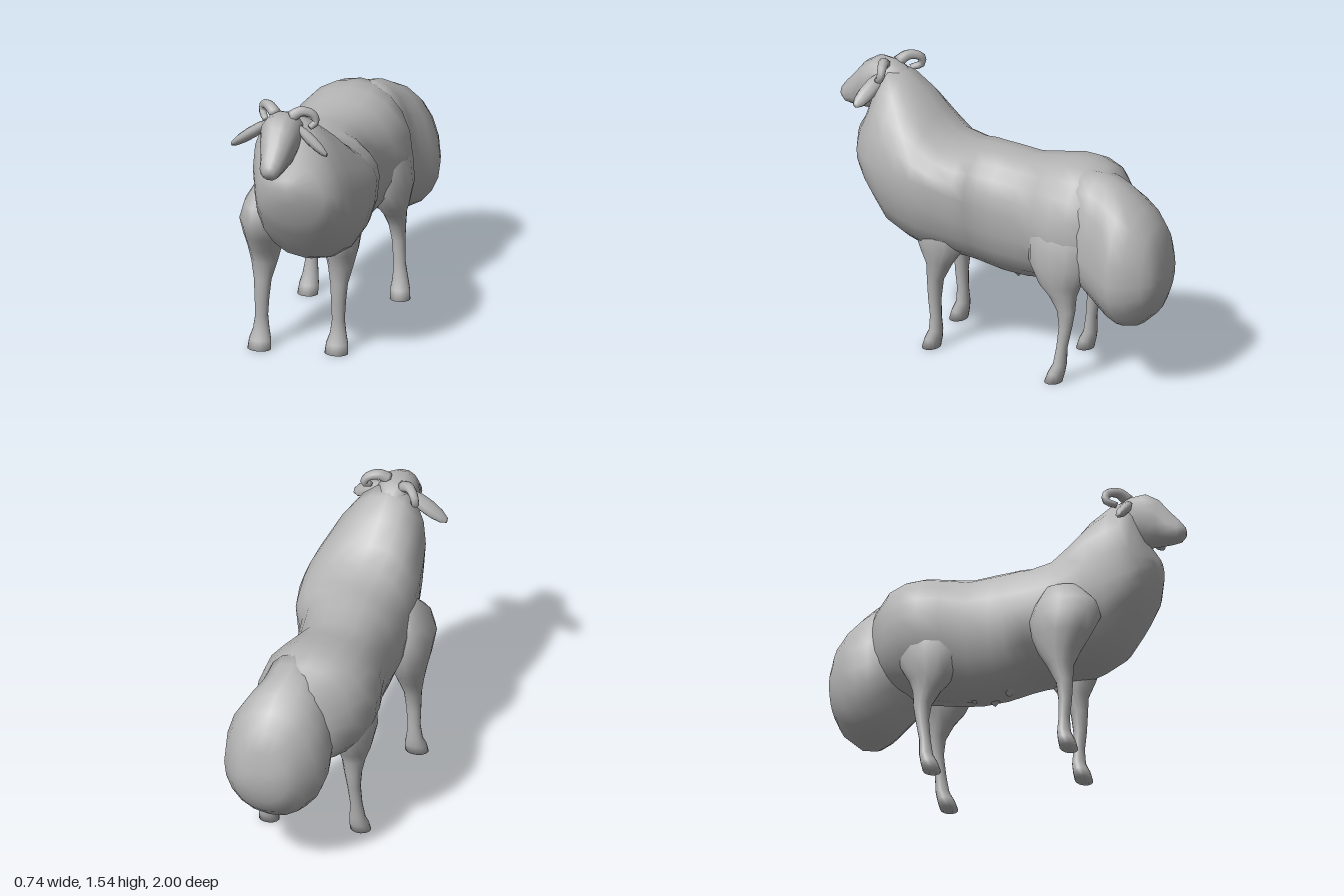
import * as THREE from 'three';

const wool = new THREE.MeshStandardMaterial({ color: 0xb4b4b4 });
wool.name = 'pale grey';

// Closed smooth skin over a list of rings (arrays of Vector3), wound outward.
function loft(name, rings) {
  const n = rings[0].length, pos = [], idx = [];
  rings.forEach(r => r.forEach(p => pos.push(p.x, p.y, p.z)));
  for (let i = 0; i < rings.length - 1; i++)
    for (let j = 0; j < n; j++) {
      const a = i * n + j, b = i * n + (j + 1) % n;
      idx.push(a, b, a + n, b, b + n, a + n);
    }
  [0, rings.length - 1].forEach((k, end) => {
    const c = rings[k].reduce((s, p) => s.add(p), new THREE.Vector3()).divideScalar(n);
    const ci = pos.length / 3;
    pos.push(c.x, c.y, c.z);
    for (let j = 0; j < n; j++) {
      const a = k * n + j, b = k * n + (j + 1) % n;
      end ? idx.push(a, b, ci) : idx.push(b, a, ci);
    }
  });
  // Flip the faces if the enclosed volume comes out negative.
  const v = i => new THREE.Vector3().fromArray(pos, i * 3);
  let vol = 0;
  for (let i = 0; i < idx.length; i += 3) vol += v(idx[i]).dot(v(idx[i + 1]).cross(v(idx[i + 2])));
  if (vol < 0) idx.reverse();
  const g = new THREE.BufferGeometry();
  g.setAttribute('position', new THREE.Float32BufferAttribute(pos, 3));
  g.setIndex(idx);
  g.computeVertexNormals();
  const m = new THREE.Mesh(g, wool);
  m.name = name;
  return m;
}

// Ring around centre c, spanned by the half-axes u and v.
function ring(n, c, u, v) {
  return Array.from({ length: n }, (_, j) => {
    const t = j / n * Math.PI * 2;
    return c.clone().addScaledVector(u, Math.cos(t)).addScaledVector(v, Math.sin(t));
  });
}
const V = (x, y, z) => new THREE.Vector3(x, y, z);

// Upright section: z, x range, bulge heights of the two sides, top, bottom,
// and how far the upper half leans to the right.
function section([z, x0, x1, y0, y1, top, bottom, lean = 0], n = 20) {
  return Array.from({ length: n }, (_, j) => {
    const t = j / n * Math.PI * 2, c = Math.cos(t), s = Math.sin(t);
    const mid = THREE.MathUtils.lerp(y0, y1, (1 + c) / 2);
    const cx = Math.sign(c) * Math.abs(c) ** 0.9;
    const x = (x0 + x1) / 2 + (x1 - x0) / 2 * cx - lean * Math.max(s, 0);
    return V(x, mid + (s > 0 ? top - mid : mid - bottom) * s, z);
  });
}

// Leg rows: height, z offset, half width, half depth
const shin = [
  [0.4, 0, 0.048, 0.045], [0.29, 0.005, 0.04, 0.035], [0.19, 0, 0.035, 0.03],
  [0.11, 0, 0.045, 0.036], [0.06, 0.015, 0.06, 0.045], [0.008, 0.028, 0.064, 0.047],
];
const leftFrontRows = [
  [0.88, -0.04, 0.07, 0.12], [0.68, -0.04, 0.1, 0.16], [0.58, -0.035, 0.088, 0.12], [0.5, -0.025, 0.07, 0.072], ...shin,
];
const rightFrontRows = [
  [0.96, -0.02, 0.05, 0.09], [0.86, 0, 0.105, 0.17], [0.77, 0, 0.128, 0.195],
  [0.67, -0.02, 0.112, 0.16], [0.58, -0.03, 0.09, 0.115], [0.5, -0.025, 0.072, 0.07], ...shin,
];
const hindRows = [
  [0.94, 0.03, 0.07, 0.13], [0.8, 0.02, 0.118, 0.19], [0.66, 0.02, 0.118, 0.18], [0.55, 0.02, 0.088, 0.12],
  [0.49, 0, 0.064, 0.078], [0.41, -0.025, 0.047, 0.05], [0.32, -0.025, 0.036, 0.036], [0.2, -0.008, 0.033, 0.03],
  [0.11, 0, 0.043, 0.036], [0.06, 0.018, 0.053, 0.045], [0.008, 0.034, 0.056, 0.047],
];
function leg(name, rows, x, z, lean) {
  return loft(name, rows.map(([y, dz, hx, hz]) =>
    ring(14, V(x + lean * (0.4 - y), y, z + dz), V(hx, 0, 0), V(0, 0, hz))));
}

// Leaf-shaped ear from root to tip
function ear(name, root, tip) {
  const widths = [[0, 0.03], [0.3, 0.046], [0.6, 0.045], [0.85, 0.034], [1, 0.014]];
  return loft(name, widths.map(([t, w]) =>
    ring(8, root.clone().lerp(tip, t), V(0, w * 0.85, w * 0.5), V(0, -w * 0.3, w * 0.7))));
}

// Tapered curling horn
function horn(name, points) {
  const curve = new THREE.CatmullRomCurve3(points), k = 12;
  const f = curve.computeFrenetFrames(k);
  return loft(name, f.normals.map((nrm, i) => {
    const r = THREE.MathUtils.lerp(0.033, 0.016, i / k);
    return ring(8, curve.getPointAt(i / k), nrm.clone().multiplyScalar(r), f.binormals[i].clone().multiplyScalar(r));
  }));
}

export function createModel() {
  const sheep = new THREE.Group();
  sheep.name = 'sheep';

  // Chest, rising neck, waist and hips in one skin
  sheep.add(loft('bodyAndNeck', [
    [0.84, -0.08, 0.09, 1.11, 1.1, 1.17, 1.03],
    [0.79, -0.16, 0.2, 1.06, 1.07, 1.25, 0.9, 0.03],
    [0.74, -0.19, 0.245, 1.02, 1.06, 1.42, 0.82, 0.06],
    [0.69, -0.21, 0.275, 1, 1.05, 1.485, 0.75, 0.07],
    [0.61, -0.23, 0.305, 0.96, 1.04, 1.465, 0.64, 0.07],
    [0.5, -0.25, 0.335, 0.92, 1.03, 1.385, 0.59, 0.07],
    [0.4, -0.26, 0.35, 0.88, 1.02, 1.285, 0.56, 0.06],
    [0.3, -0.27, 0.345, 0.86, 1, 1.205, 0.55, 0.03],
    [0.17, -0.285, 0.32, 0.85, 0.96, 1.18, 0.535],
    [0.11, -0.285, 0.285, 0.85, 0.93, 1.178, 0.515],
    [0.06, -0.28, 0.255, 0.85, 0.9, 1.17, 0.495],
    [-0.02, -0.275, 0.24, 0.85, 0.88, 1.165, 0.475],
    [-0.15, -0.29, 0.222, 0.85, 0.87, 1.145, 0.46],
    [-0.28, -0.325, 0.27, 0.88, 0.85, 1.165, 0.485],
    [-0.4, -0.34, 0.305, 0.88, 0.83, 1.19, 0.52],
    [-0.5, -0.325, 0.3, 0.88, 0.82, 1.19, 0.54],
    [-0.6, -0.275, 0.255, 0.86, 0.8, 1.165, 0.57],
    [-0.7, -0.17, 0.18, 0.84, 0.8, 1.08, 0.64],
  ].map(r => section(r))));

  // Heavy hanging tail
  sheep.add(loft('fatTail', [
    [-0.42, -0.08, 0.2, 0.8, 0.8, 1.1, 0.64],
    [-0.52, -0.12, 0.27, 0.78, 0.76, 1.17, 0.53],
    [-0.6, -0.16, 0.28, 0.75, 0.72, 1.163, 0.45],
    [-0.66, -0.185, 0.3, 0.73, 0.69, 1.145, 0.4],
    [-0.72, -0.195, 0.335, 0.7, 0.67, 1.12, 0.37],
    [-0.79, -0.195, 0.367, 0.68, 0.65, 1.08, 0.355],
    [-0.87, -0.165, 0.345, 0.68, 0.65, 1.02, 0.37],
    [-0.945, -0.1, 0.285, 0.68, 0.65, 0.94, 0.44],
    [-0.98, -0.05, 0.24, 0.68, 0.65, 0.83, 0.52],
    [-1, 0.02, 0.19, 0.67, 0.66, 0.72, 0.59],
  ].map(r => section(r))));

  // Head narrowing to the muzzle
  sheep.add(loft('head', [
    [0.58, -0.08, 0, 1.39, 1.39, 1.42, 1.36],
    [0.64, -0.11, 0.03, 1.42, 1.42, 1.48, 1.34],
    [0.7, -0.15, 0.065, 1.41, 1.41, 1.505, 1.25],
    [0.79, -0.15, 0.06, 1.41, 1.41, 1.515, 1.215],
    [0.86, -0.13, 0.045, 1.37, 1.37, 1.475, 1.215],
    [0.92, -0.11, 0.025, 1.31, 1.31, 1.4, 1.215],
    [0.97, -0.1, 0.01, 1.28, 1.28, 1.345, 1.22],
    [1, -0.075, -0.015, 1.275, 1.275, 1.305, 1.245],
  ].map(r => section(r, 14))));

  sheep.add(
    ear('leftEar', V(0.04, 1.43, 0.73), V(0.215, 1.325, 0.79)),
    ear('rightEar', V(-0.13, 1.43, 0.71), V(-0.325, 1.3, 0.73)),
    horn('leftHorn', [V(0, 1.49, 0.73), V(0.05, 1.52, 0.71), V(0.11, 1.5, 0.69), V(0.125, 1.46, 0.69), V(0.1, 1.44, 0.72)]),
    horn('rightHorn', [V(-0.09, 1.48, 0.7), V(-0.14, 1.51, 0.66), V(-0.185, 1.49, 0.61), V(-0.19, 1.45, 0.61), V(-0.16, 1.43, 0.66)]),
    leg('leftFrontLeg', leftFrontRows, 0.15, 0.345, -0.02),
    leg('rightFrontLeg', rightFrontRows, -0.253, 0.4, -0.03),
    leg('leftHindLeg', hindRows, 0.225, -0.45, 0.08),
    leg('rightHindLeg', hindRows, -0.21, -0.38, -0.05),
  );

  // Small ragged wool tufts under the belly
  [[-0.04, 0.49, 0.02], [0.02, 0.475, -0.08], [-0.04, 0.475, -0.17]].forEach(([x, y, z]) => {
    const tuft = new THREE.Mesh(new THREE.ConeGeometry(0.045, 0.05, 8), wool);
    tuft.name = 'bellyTuft';
    tuft.rotation.x = Math.PI;
    tuft.position.set(x, y, z);
    sheep.add(tuft);
  });
  return sheep;
}
